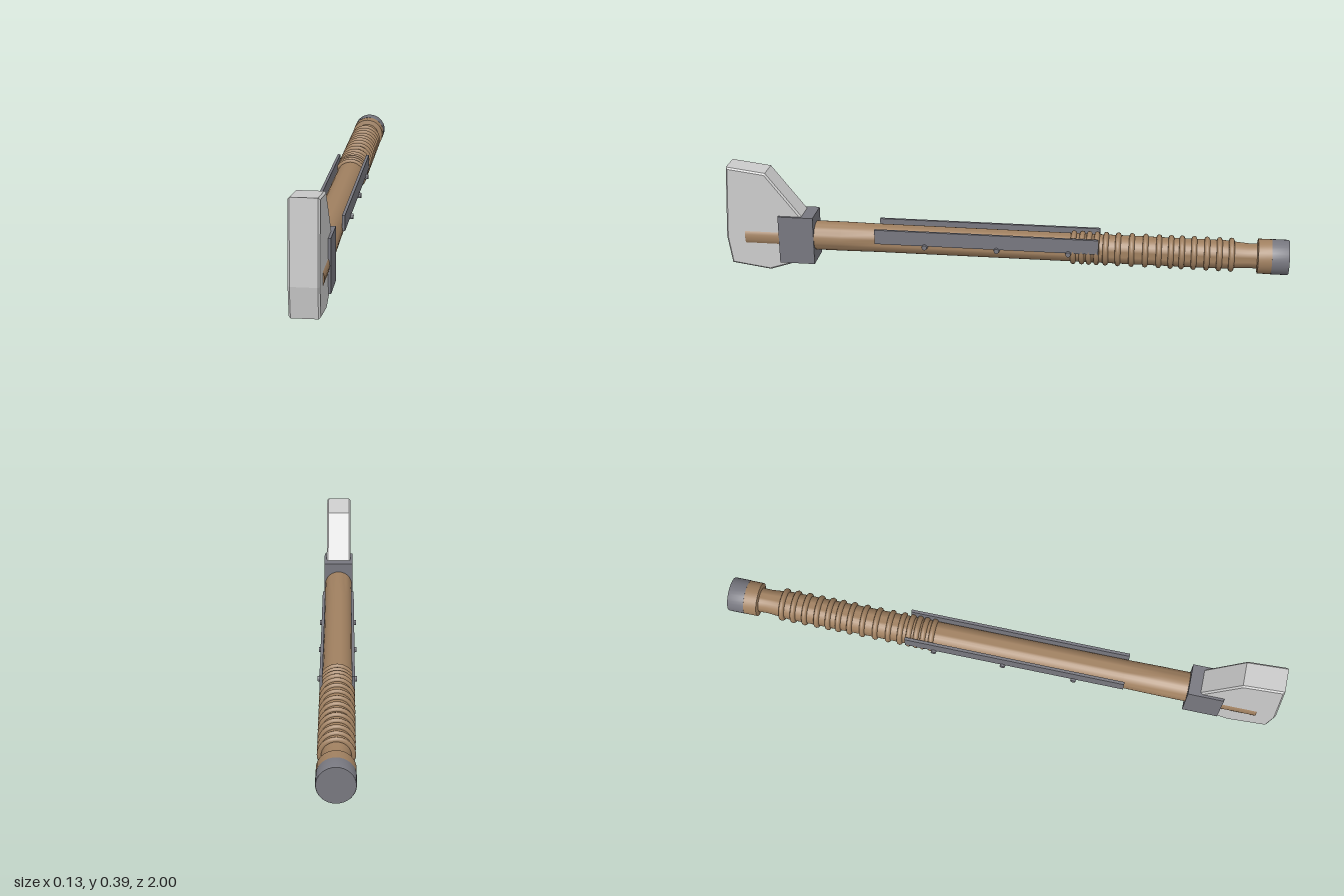
import * as THREE from 'three';
import { toCreasedNormals } from 'three/addons/utils/BufferGeometryUtils.js';

const AXIS_Y = 0.125; // height of the handle axis

export function createModel() {
  const model = new THREE.Group();
  const wood = new THREE.MeshStandardMaterial({ color: 0xa08060 });
  const iron = new THREE.MeshStandardMaterial({ color: 0x77777f });
  const steel = new THREE.MeshStandardMaterial({ color: 0xcccccc });

  function add(name, geometry, material, x = 0, y = 0, z = 0) {
    const mesh = new THREE.Mesh(geometry, material);
    mesh.name = name;
    mesh.position.set(x, y, z);
    model.add(mesh);
    return mesh;
  }

  // Turned part along z, from [radius, z] pairs in order of rising z
  function turned(name, profile, material) {
    const points = profile.map(([r, z]) => new THREE.Vector2(r, z));
    const geometry = new THREE.LatheGeometry(points, 32).rotateX(Math.PI / 2);
    return add(name, toCreasedNormals(geometry, 0.6), material, 0, AXIS_Y, 0);
  }

  // Handle: flared butt, narrow neck, long shaft running through the head
  turned('handle', [
    [0, -0.95], [0.061, -0.95], [0.061, -0.893], [0.044, -0.89], [0.043, -0.86],
    [0.047, -0.81], [0.05, -0.78], [0.051, 0.45], [0.0525, 0.58], [0.0525, 0.93], [0, 0.93],
  ], wood);
  turned('pommelCap', [[0, -1], [0.06, -1], [0.0615, -0.997], [0.0615, -0.94], [0, -0.94]], iron);

  // Wrapped grip rings, closer together towards the middle of the handle
  const ringZ = [-0.25, -0.28, -0.305, -0.332, -0.364, -0.407, -0.455, -0.503,
    -0.55, -0.592, -0.63, -0.672, -0.717, -0.76, -0.802];
  for (const z of ringZ) {
    add('gripRing', new THREE.TorusGeometry(0.05, 0.01, 8, 32), wood, 0, AXIS_Y, z);
  }

  // Side rails with bolts
  for (const side of [1, -1]) {
    add('sideRail', new THREE.BoxGeometry(0.01, 0.053, 0.795), iron, side * 0.054, 0.1525, 0.0575);
    for (const z of [0.275, 0.018, -0.235]) {
      const bolt = new THREE.CylinderGeometry(0.009, 0.012, 0.022, 12).rotateZ(-side * Math.PI / 2);
      add('bolt', toCreasedNormals(bolt, 0.6), iron, side * 0.056, 0.123, z);
    }
  }

  // Collar that clamps the head
  add('collar', new THREE.BoxGeometry(0.112, 0.177, 0.127), iron, 0, 0.1225, 0.7415);

  // Head: profile in z and y, extruded across x with chamfered edges
  const outline = [
    [0.69, 0.06], [0.74, 0.035], [0.845, 0], [0.985, 0.02], [1, 0.122],
    [0.985, 0.388], [0.845, 0.37], [0.72, 0.21], [0.69, 0.17],
  ].map(([z, y]) => new THREE.Vector2(z, y));
  const chamfer = 0.006;
  const width = 0.095;
  const head = new THREE.ExtrudeGeometry(new THREE.Shape(outline), {
    depth: width - 2 * chamfer,
    bevelThickness: chamfer,
    bevelSize: chamfer,
    bevelOffset: -chamfer,
    bevelSegments: 1,
  });
  head.translate(0, 0, chamfer - width / 2).rotateY(-Math.PI / 2);
  add('head', head, steel);

  return model;
}
